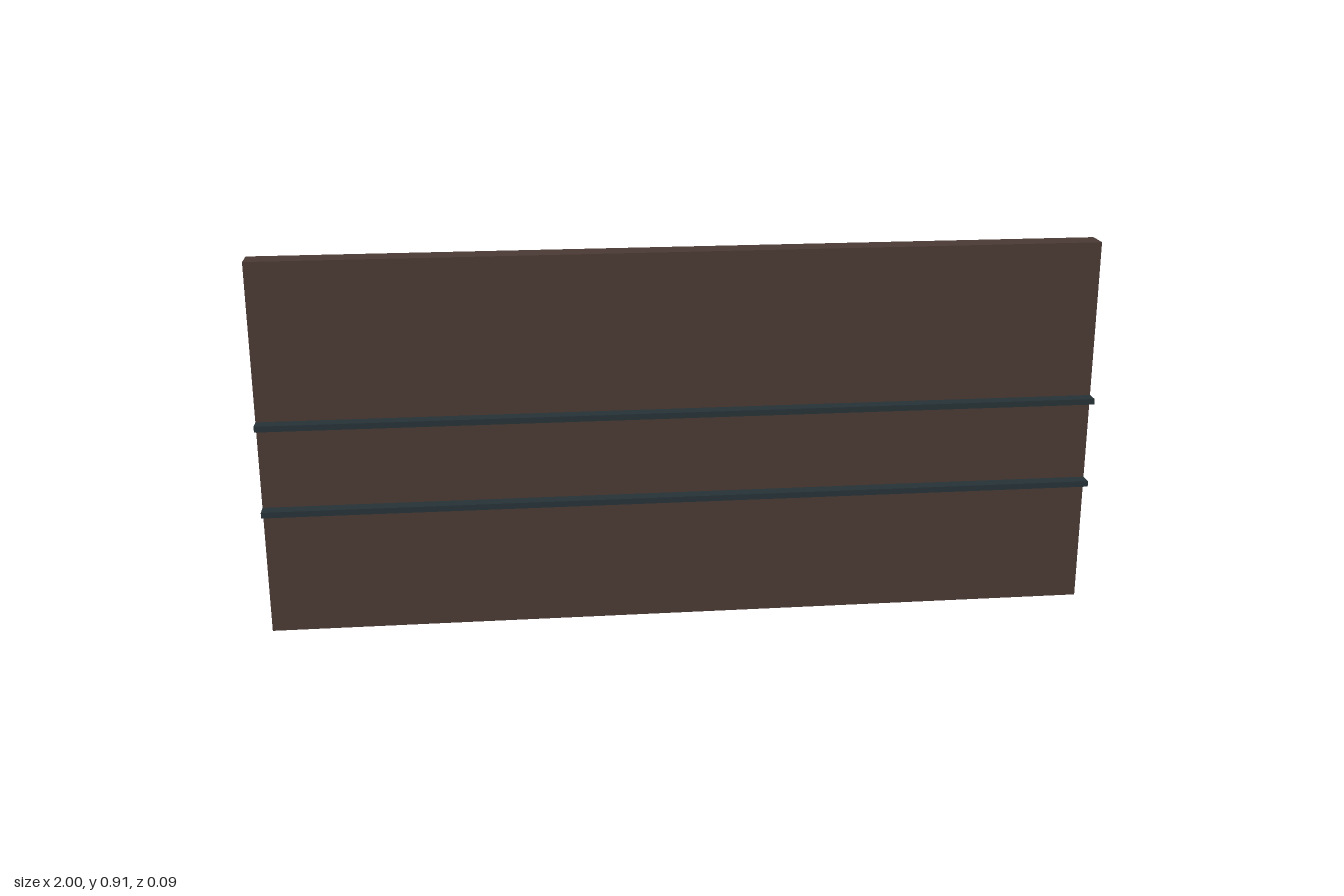
import * as THREE from 'three';

export function createModel() {
  const model = new THREE.Group();
  model.name = 'railedPanel';

  const wood = new THREE.MeshStandardMaterial({ color: 0x4a3a34 });
  wood.name = 'darkBrown';
  const metal = new THREE.MeshStandardMaterial({ color: 0x263236 });
  metal.name = 'darkSlate';

  // Box placed by its lower and upper y and its back and front z
  function slab(name, y0, y1, z0, z1, material) {
    const mesh = new THREE.Mesh(new THREE.BoxGeometry(2, y1 - y0, z1 - z0), material);
    mesh.name = name;
    mesh.position.set(0, (y0 + y1) / 2, (z0 + z1) / 2);
    model.add(mesh);
  }

  // Upright panel
  slab('panel', 0, 0.909, -0.047, 0.013, wood);

  // Two full-width rails along the front
  const railHeight = 0.014;
  [['lowerRail', 0.304], ['upperRail', 0.516]].forEach(([name, y]) =>
    slab(name, y, y + railHeight, 0.013, 0.047, metal));

  return model;
}
